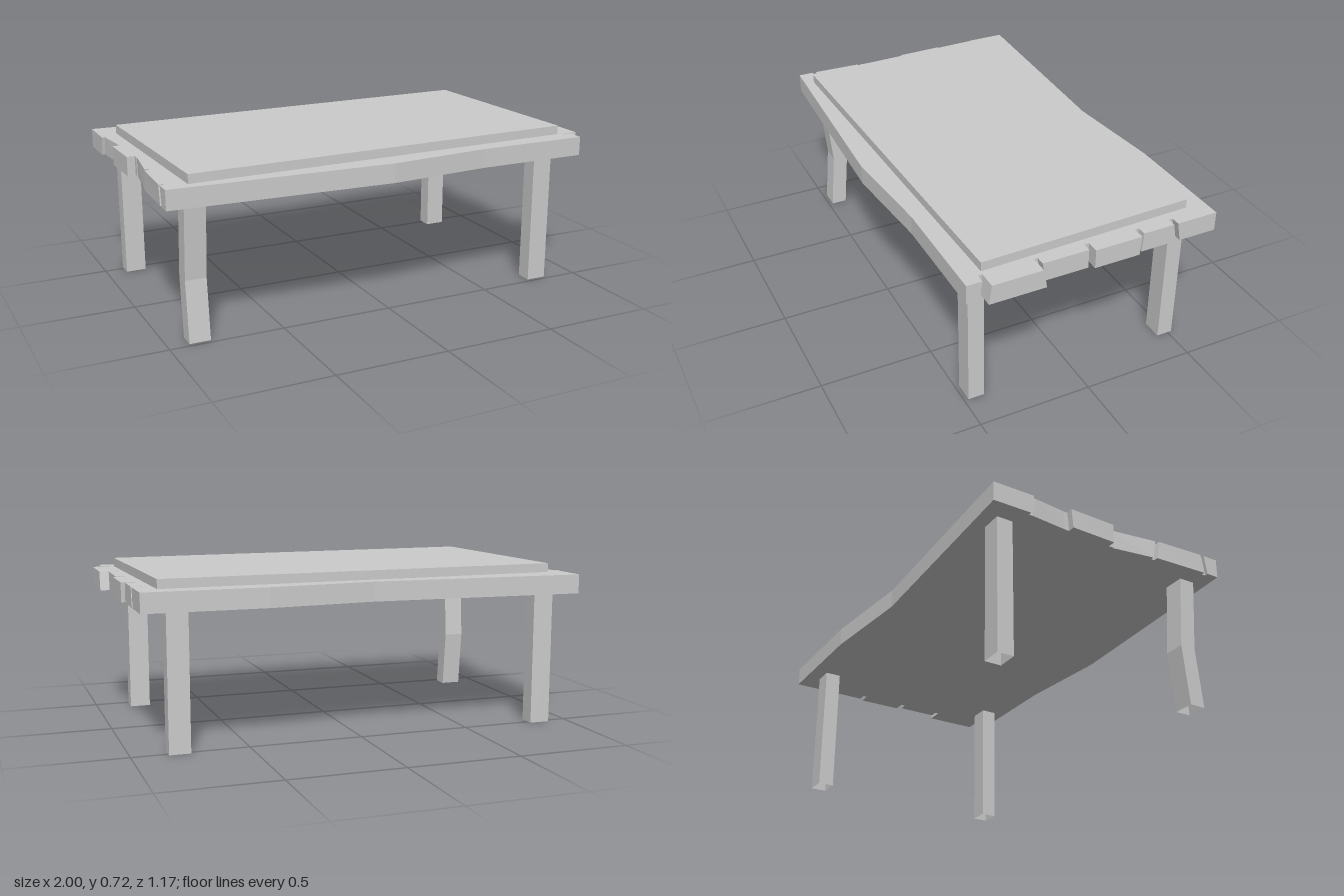
import * as THREE from 'three';

const material = new THREE.MeshStandardMaterial({ color: 0xcccccc, flatShading: true });
const openMaterial = new THREE.MeshStandardMaterial({ color: 0xcccccc, flatShading: true, side: THREE.DoubleSide });

// Slab with an outline of [x, z] points, standing from y0 to y1
function slabGeometry(points, y0, y1) {
  const shape = new THREE.Shape(points.map(([x, z]) => new THREE.Vector2(x, -z)));
  const geometry = new THREE.ExtrudeGeometry(shape, { depth: y1 - y0, bevelEnabled: false });
  return geometry.rotateX(-Math.PI / 2).translate(0, y0, 0);
}

function addMesh(group, name, geometry, mat = material) {
  const mesh = new THREE.Mesh(geometry, mat);
  mesh.name = name;
  group.add(mesh);
  return mesh;
}

// Gaps between plank ends: z range at the top, lean of the cut at the bottom,
// depth of the cut at the +x and -x ends
const gaps = [
  { z0: -0.403, z1: -0.384, lean: -0.016, right: 0.92, left: -0.985 },
  { z0: -0.242, z1: -0.223, lean: 0.006, right: 0.92, left: -0.97 },
  { z0: -0.011, z1: 0.011, lean: 0, right: 0.92, left: -0.96 },
  { z0: 0.217, z1: 0.233, lean: -0.016, right: 0.92, left: -0.97 },
  { z0: 0.453, z1: 0.472, lean: 0.012, right: 0.92, left: -0.985 },
];
// Plank ends from back to front; the left ends are cut askew
const rightEnds = [0.96, 0.96, 0.975, 0.96, 1, 0.96];
const leftEnds = [[-1, -1], [-0.985, -0.97], [-1, -0.995], [-0.957, -0.985], [-0.99, -1], [-1, -1]];

function plankTopGeometry() {
  const right = [[rightEnds[0], -0.59]];
  const left = [[leftEnds[0][0], -0.59]];
  gaps.forEach((g, i) => {
    right.push([rightEnds[i], g.z0], [g.right, g.z0], [g.right, g.z1], [rightEnds[i + 1], g.z1]);
    left.push([leftEnds[i][1], g.z0], [g.left, g.z0], [g.left, g.z1], [leftEnds[i + 1][0], g.z1]);
  });
  right.push([rightEnds[5], 0.54]);
  left.push([leftEnds[5][1], 0.54]);
  const outline = [
    ...right, [0.44, 0.54], [-0.02, 0.58],
    ...left.reverse(), [-0.04, -0.547], [0.43, -0.59],
  ];
  const geometry = slabGeometry(outline, 0.595, 0.68);

  // Lean the gap walls by moving their lower edges
  const p = geometry.attributes.position;
  for (let i = 0; i < p.count; i++) {
    if (p.getY(i) > 0.64 || Math.abs(p.getX(i)) < 0.9) continue;
    const z = p.getZ(i);
    const gap = gaps.find((g) => z > g.z0 - 0.005 && z < g.z1 + 0.005);
    if (gap) p.setZ(i, z + gap.lean);
  }
  geometry.computeVertexNormals();
  return geometry;
}

// Square leg without end caps; bend pushes its knee backwards
function legGeometry(bend) {
  const height = 0.595;
  const geometry = new THREE.CylinderGeometry(Math.SQRT1_2, Math.SQRT1_2, 1, 4, 2, true, Math.PI / 4);
  geometry.scale(0.092, height, 0.072).translate(0, height / 2, 0);
  const p = geometry.attributes.position;
  for (let i = 0; i < p.count; i++) {
    if (Math.abs(p.getY(i) - height / 2) < 0.01) {
      p.setY(i, 0.265);
      p.setZ(i, p.getZ(i) - bend);
    }
  }
  geometry.computeVertexNormals();
  return geometry;
}

export function createModel() {
  const table = new THREE.Group();
  table.name = 'table';

  addMesh(table, 'plankTop', plankTopGeometry());

  // Slightly crooked board lying on the planks
  const board = [[-0.92, -0.455], [0.875, -0.5], [0.9, 0.45], [-0.895, 0.5]];
  addMesh(table, 'topBoard', slabGeometry(board, 0.68, 0.72));

  // Four legs, the front right one bent
  const legs = [
    ['frontLeftLeg', 0.8, 0.445, 0],
    ['frontRightLeg', -0.864, 0.445, 0.026],
    ['backLeftLeg', 0.8, -0.484, 0],
    ['backRightLeg', -0.864, -0.484, 0],
  ];
  for (const [name, x, z, bend] of legs) {
    addMesh(table, name, legGeometry(bend), openMaterial).position.set(x, 0, z);
  }
  return table;
}
